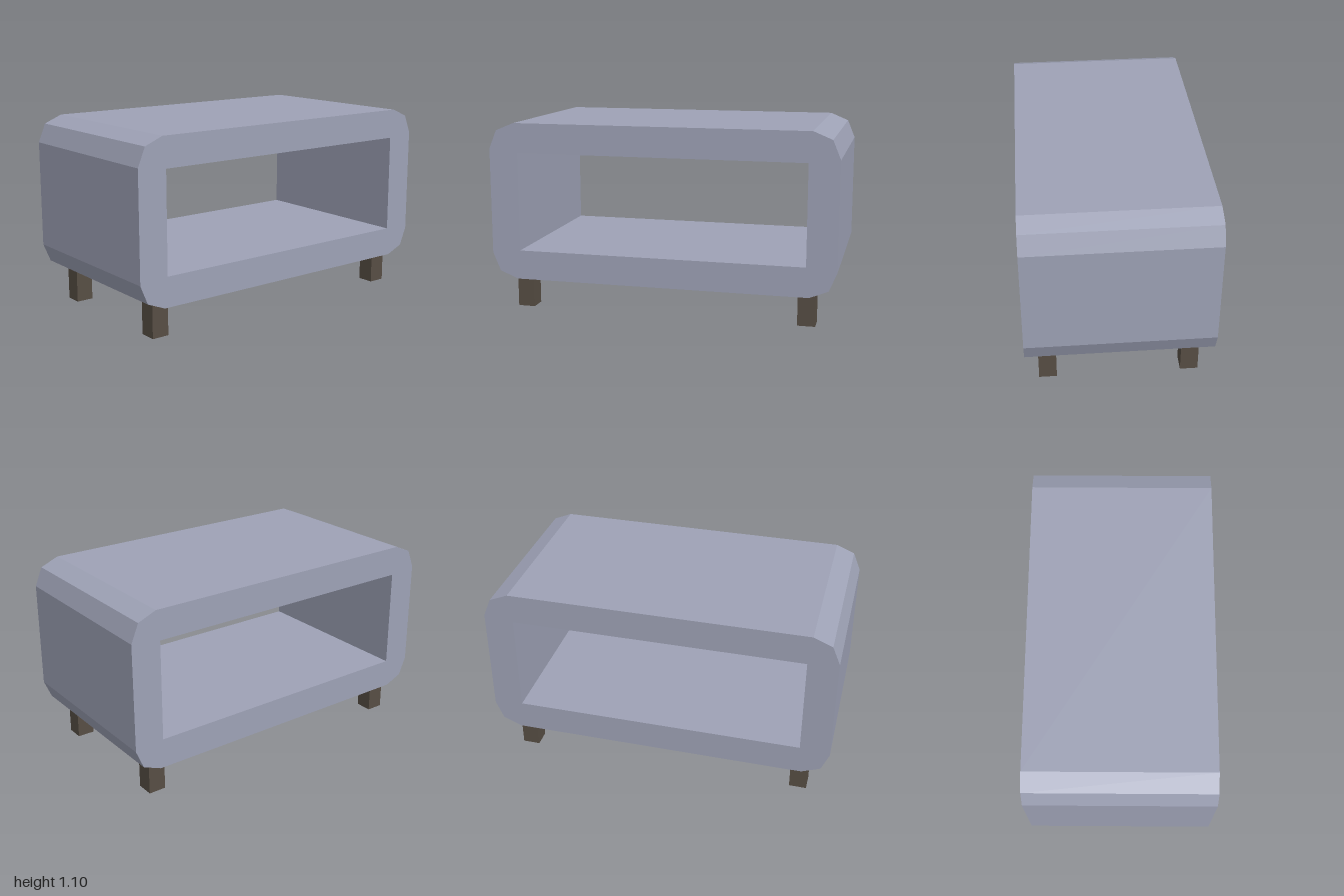
import * as THREE from 'three';

export function createModel() {
  const group = new THREE.Group();
  const shellPaint = new THREE.MeshStandardMaterial({ color: 0x9ea2b6 });
  shellPaint.name = 'greyBluePaint';
  const legWood = new THREE.MeshStandardMaterial({ color: 0x574e44 });
  legWood.name = 'darkWood';

  // Shell: an outline with two-facet rounded corners and a rectangular opening
  const width = 1.05, halfDepth = 1, bottom = 0.185, top = 1.097, radius = 0.15;
  const points = [];
  const corners = [[1, top - radius], [-1, top - radius], [-1, bottom + radius], [1, bottom + radius]];
  corners.forEach(([side, y], i) => {
    for (let k = 0; k <= 2; k++) {
      const angle = (i + k / 2) * Math.PI / 2;
      points.push(new THREE.Vector2(
        side * (halfDepth - radius) + radius * Math.cos(angle),
        y + radius * Math.sin(angle)));
    }
  });
  const outline = new THREE.Shape(points);
  outline.holes.push(new THREE.Path([
    new THREE.Vector2(-0.83, 0.355), new THREE.Vector2(-0.83, 0.926),
    new THREE.Vector2(0.83, 0.926), new THREE.Vector2(0.83, 0.355),
  ]));
  const shellGeometry = new THREE.ExtrudeGeometry(outline, { depth: width, bevelEnabled: false });
  shellGeometry.translate(0, 0, -width / 2).rotateY(-Math.PI / 2);
  const shell = new THREE.Mesh(shellGeometry, shellPaint);
  shell.name = 'openShell';
  group.add(shell);

  // Four square legs, slightly sunk into the shell
  const legHeight = 0.195;
  const legGeometry = new THREE.BoxGeometry(0.1, legHeight, 0.1);
  for (const x of [-1, 1]) {
    for (const z of [-1, 1]) {
      const leg = new THREE.Mesh(legGeometry, legWood);
      leg.name = (z > 0 ? 'front' : 'back') + (x > 0 ? 'Left' : 'Right') + 'Leg';
      leg.position.set(x * 0.4, legHeight / 2, z * 0.83);
      group.add(leg);
    }
  }
  return group;
}
